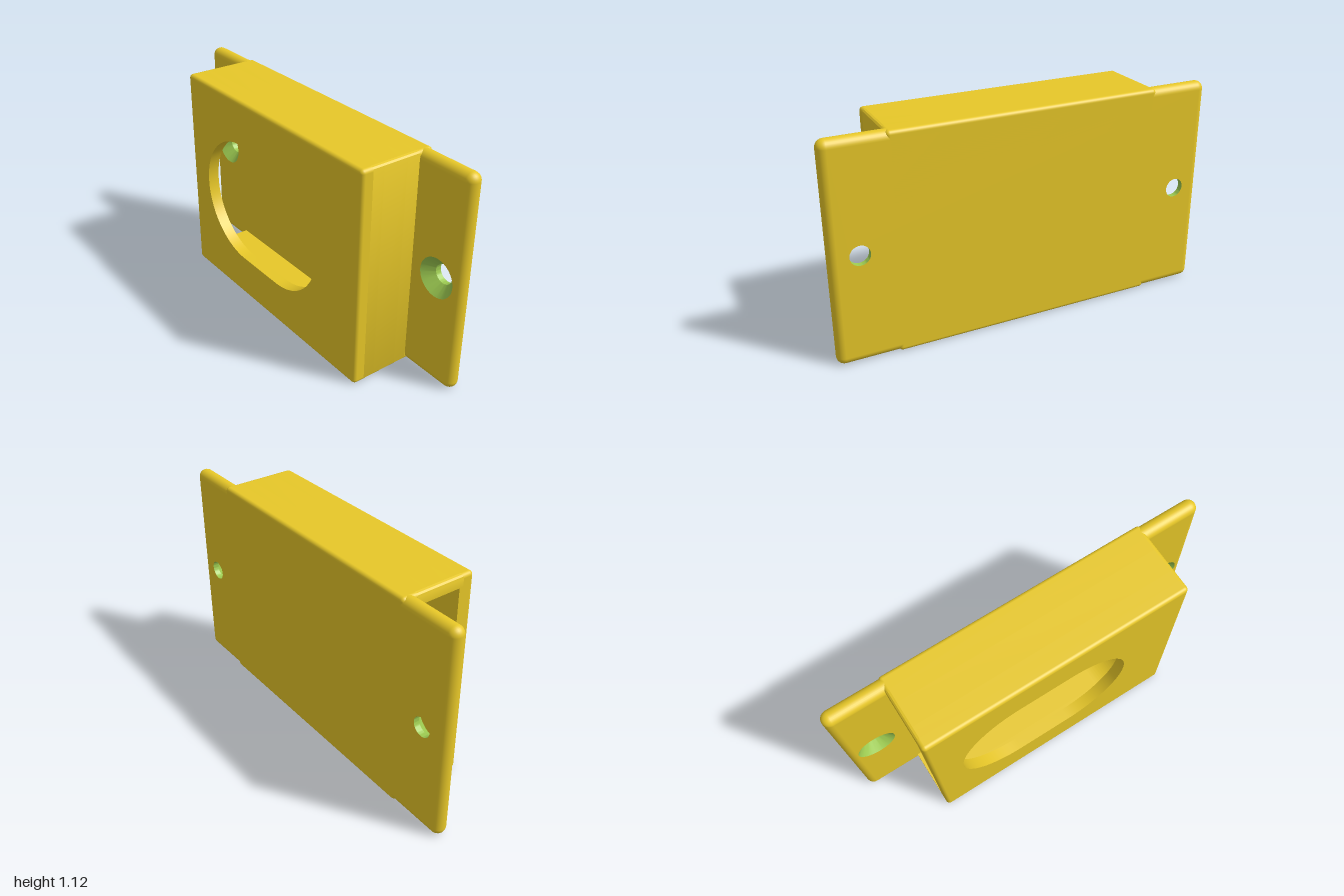
import * as THREE from 'three';
import { toCreasedNormals } from 'three/addons/utils/BufferGeometryUtils.js';

const H = 1.12, MID = H / 2;

// Points and directions around a rounded rectangle (half width w, height H), inset from its edge
function outline(w, r, inset, n = 8) {
  const pts = [];
  [[1, 1], [-1, 1], [-1, -1], [1, -1]].forEach(([sx, sy], k) => {
    for (let i = 0; i <= n; i++) {
      const a = (k + i / n) * Math.PI / 2;
      pts.push({
        x: sx * (w - r) + (r - inset) * Math.cos(a),
        y: MID + sy * (MID - r) + (r - inset) * Math.sin(a),
        a,
      });
    }
  });
  return pts;
}

// Side skin of a slab from z0 to z1, with rounded rims where b0 / b1 are true
function rimGeometry(w, r, z0, z1, b0, b1, n = 8) {
  const rings = [];
  if (b0) for (let i = 0; i <= n; i++) rings.push([-Math.PI / 2 * (1 - i / n), z0 + r]);
  else rings.push([0, z0]);
  if (b1) for (let i = 0; i <= n; i++) rings.push([Math.PI / 2 * i / n, z1 - r]);
  else rings.push([0, z1]);
  const pos = [], nor = [], idx = [];
  rings.forEach(([b, zc]) => {
    for (const p of outline(w, r, r * (1 - Math.cos(b)))) {
      pos.push(p.x, p.y, zc + r * Math.sin(b));
      nor.push(Math.cos(p.a) * Math.cos(b), Math.sin(p.a) * Math.cos(b), Math.sin(b));
    }
  });
  const m = outline(w, r, 0).length;
  for (let j = 0; j < rings.length - 1; j++) {
    for (let i = 0; i < m; i++) {
      const a = j * m + i, b = j * m + (i + 1) % m;
      idx.push(a, b, b + m, a, b + m, a + m);
    }
  }
  const g = new THREE.BufferGeometry();
  g.setAttribute('position', new THREE.Float32BufferAttribute(pos, 3));
  g.setAttribute('normal', new THREE.Float32BufferAttribute(nor, 3));
  g.setIndex(idx);
  return g;
}

// Flat face area inside a rounded rim
function faceShape(w, r) {
  const s = new THREE.Shape();
  s.moveTo(-w + r, r).lineTo(w - r, r).lineTo(w - r, H - r).lineTo(-w + r, H - r).closePath();
  return s;
}

function circleHole(x, radius) {
  return new THREE.Path().absarc(x, MID, radius, 0, Math.PI * 2, true);
}

// Tray walls: open at the +x end, thick closed end with rounded inside corners
function trayShape(pocket) {
  const r = 0.02, t = 0.06, e = -0.54, c = 0.19;
  const s = new THREE.Shape();
  s.moveTo(-0.7 + r, 0).lineTo(0.7 - r, 0);
  s.absarc(0.7 - r, r, r, -Math.PI / 2, 0, false);
  s.lineTo(0.7, t).lineTo(e + c, t);
  s.absarc(e + c, t + c, c, -Math.PI / 2, -Math.PI, true);
  if (pocket) s.lineTo(e, 0.46).lineTo(e - 0.1, 0.46).lineTo(e - 0.1, 0.66).lineTo(e, 0.66);
  s.lineTo(e, H - t - c);
  s.absarc(e + c, H - t - c, c, Math.PI, Math.PI / 2, true);
  s.lineTo(0.7, H - t).lineTo(0.7, H - r);
  s.absarc(0.7 - r, H - r, r, 0, Math.PI / 2, false);
  s.lineTo(-0.7 + r, H);
  s.absarc(-0.7 + r, H - r, r, Math.PI / 2, Math.PI, false);
  s.lineTo(-0.7, r);
  s.absarc(-0.7 + r, r, r, Math.PI, Math.PI * 1.5, false);
  return s;
}

export function createModel() {
  const yellow = new THREE.MeshStandardMaterial({ color: 0xf9d72c });
  yellow.name = 'yellow plastic';
  const green = new THREE.MeshStandardMaterial({ color: 0x9dcb51, side: THREE.DoubleSide });
  green.name = 'green hole';

  const model = new THREE.Group();
  model.name = 'wallMountHousing';
  // Parts are drawn facing +z, then turned to face +x
  const add = (name, geometry, material = yellow) => {
    geometry.rotateY(Math.PI / 2);
    const mesh = new THREE.Mesh(geometry, material);
    mesh.name = name;
    model.add(mesh);
  };
  const extrude = (shape, z0, z1) => toCreasedNormals(
    new THREE.ExtrudeGeometry(shape, { depth: z1 - z0, bevelEnabled: false, curveSegments: 24 })
      .translate(0, 0, z0), 0.6);

  // Mounting plate with fully rounded edges and two screw holes
  const holeX = [-0.855, 0.855];
  add('plateRim', rimGeometry(1, 0.04, 0.12, 0.2, true, true));
  const outer = faceShape(1, 0.04), inner = faceShape(1, 0.04);
  holeX.forEach((x) => {
    outer.holes.push(circleHole(x, 0.05));
    inner.holes.push(circleHole(x, 0.1));
  });
  add('plateOuterFace', new THREE.ShapeGeometry(outer, 24).translate(0, 0, 0.2));
  add('plateInnerFace', new THREE.ShapeGeometry(inner, 24).rotateY(Math.PI).translate(0, 0, 0.12));

  // Countersunk screw holes
  holeX.forEach((x) => {
    const profile = [[0.1, 0.12], [0.05, 0.17], [0.05, 0.2]].map((p) => new THREE.Vector2(...p));
    const g = new THREE.LatheGeometry(profile, 48).rotateX(Math.PI / 2);
    add('screwHole', toCreasedNormals(g, 0.5).translate(x, MID, 0));
  });
  model.children.filter((m) => m.name === 'screwHole').forEach((m) => { m.material = green; });

  // Base of the box, merged with the plate
  add('boxBaseRim', rimGeometry(0.7, 0.02, 0.12, 0.2, false, true));
  add('boxBaseFace', new THREE.ShapeGeometry(faceShape(0.7, 0.02)).translate(0, 0, 0.2));

  // Tray walls, with a pocket in the thick end
  add('trayLower', extrude(trayShape(false), 0.05, 0.12));
  add('trayPocket', extrude(trayShape(true), -0.08, 0.05));
  add('trayUpper', extrude(trayShape(false), -0.14, -0.08));

  // Window wall with a stadium-shaped opening
  add('windowWallRim', rimGeometry(0.7, 0.02, -0.2, -0.14, true, false));
  const wall = faceShape(0.7, 0.02), R = 0.33;
  const win = new THREE.Path();
  win.absarc(0.22, MID, R, Math.PI / 2, -Math.PI / 2, true);
  win.absarc(-0.07, MID, R, -Math.PI / 2, -Math.PI * 1.5, true);
  win.closePath();
  wall.holes.push(win);
  add('windowWall', extrude(wall, -0.2, -0.14));

  return model;
}
